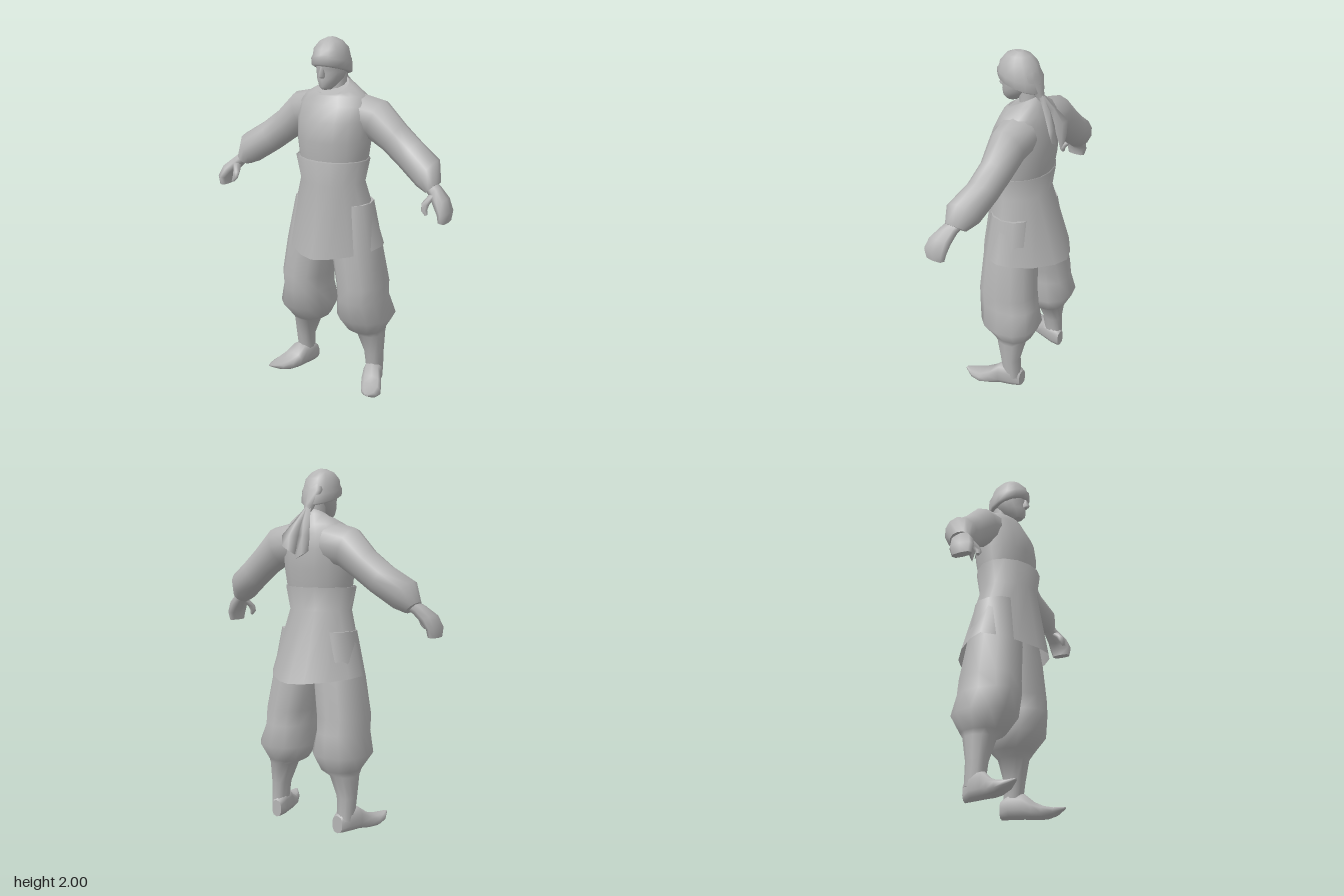
import * as THREE from 'three';

const X = [1, 0, 0], Y = [0, 1, 0], Z = [0, 0, 1];

// One closed cross-section: superellipse around c, spanned by U and V
function ring(c, U, V, ru, rv, n, p = 2) {
  const e = (t) => Math.sign(t) * Math.pow(Math.abs(t) < 1e-9 ? 0 : Math.abs(t), 2 / p);
  return Array.from({ length: n }, (_, i) => {
    const a = (i / n) * Math.PI * 2, s = e(Math.sin(a)) * ru, k = e(Math.cos(a)) * rv;
    return c.map((v, j) => v + U[j] * s + V[j] * k);
  });
}

// Skin through the rings; side = -1 mirrors it across x
function loft(rings, side = 1, capStart = true, capEnd = true) {
  const n = rings[0].length, pos = [], idx = [];
  const tri = (a, b, c) => (side > 0 ? idx.push(a, b, c) : idx.push(a, c, b));
  const add = (p) => pos.push(p[0] * side, p[1], p[2]) / 3 - 1;
  rings.forEach((r) => r.forEach(add));
  for (let i = 0; i < rings.length - 1; i++)
    for (let j = 0; j < n; j++) {
      const k = (j + 1) % n, a = i * n + j, b = i * n + k;
      tri(a, b, b + n);
      tri(a, b + n, a + n);
    }
  const cap = (r, flip) => {
    const mid = add([0, 1, 2].map((k) => r.reduce((t, p) => t + p[k] / n, 0)));
    const ids = r.map(add);
    ids.forEach((a, j) => (flip ? tri(mid, ids[(j + 1) % n], a) : tri(mid, a, ids[(j + 1) % n])));
  };
  if (capStart) cap(rings[0], true);
  if (capEnd) cap(rings[rings.length - 1], false);
  const g = new THREE.BufferGeometry();
  g.setAttribute('position', new THREE.Float32BufferAttribute(pos, 3));
  g.setIndex(idx);
  g.computeVertexNormals();
  return g;
}

// Horizontal section: height, half width, front z, back z, slope of y along z, centre x
const level = (n, p) => ([y, rx, zf, zb, slope = 0, cx = 0]) =>
  ring([cx, y, (zf + zb) / 2], X, [0, slope, 1], rx, (zf - zb) / 2, n, p);

// Limb section: centre, in-plane radius, z radius, heading angle below horizontal in degrees
const limb = (n, p) => ([x, y, z, r, rz, deg]) => {
  const a = (deg * Math.PI) / 180;
  return ring([x, y, z], Z, [Math.sin(a), Math.cos(a), 0], rz, r, n, p);
};

export function createModel() {
  const model = new THREE.Group();
  const grey = new THREE.MeshStandardMaterial({ color: 0xb4b4b4, side: THREE.DoubleSide });
  grey.name = 'plain grey';
  const part = (name, geometry) => {
    const m = new THREE.Mesh(geometry, grey);
    m.name = name;
    model.add(m);
  };

  // Tunic top with V-shaped collar
  part('tunic', loft([
    [1.33, 0.195, 0.175, -0.135],
    [1.46, 0.212, 0.187, -0.155],
    [1.57, 0.215, 0.172, -0.155],
    [1.65, 0.215, 0.13, -0.142],
    [1.7, 0.175, 0.105, -0.125],
    [1.733, 0.115, 0.1, -0.1, -0.25],
    [1.742, 0.075, 0.095, -0.075, -0.5],
  ].map(level(16, 2)), 1, false, true));

  // Flared skirt, open at the hem
  const skirt = [
    [0.86, 0.3, 0.267, -0.267],
    [1.23, 0.187, 0.192, -0.132],
    [1.36, 0.215, 0.21, -0.15],
    [1.36, 0.19, 0.17, -0.13],
  ].map((s, i) => level(16, i ? 1.9 : 1.5)(s));
  skirt[0].forEach((p) => { p[1] = 0.88 - 0.052 * Math.abs(p[2]) / 0.267 + (p[2] < 0 ? 0.015 * -p[2] / 0.267 : 0); });
  part('skirt', loft(skirt, 1, false, false));

  // Neck, head and nose
  part('neck', loft([
    [1.66, 0.06, 0.05, -0.075],
    [1.74, 0.052, 0.035, -0.07],
    [1.84, 0.055, 0.05, -0.07],
  ].map(level(10, 2))));
  part('face', loft([
    [1.735, 0.025, 0.125, 0.06],
    [1.757, 0.046, 0.14, 0.01, -0.1],
    [1.79, 0.067, 0.143, -0.03],
    [1.825, 0.077, 0.138, -0.06],
    [1.845, 0.079, 0.145, -0.07],
    [1.89, 0.08, 0.145, -0.07],
  ].map(level(12, 1.9))));
  part('nose', loft([
    [1.798, 0.014, 0.152, 0.12],
    [1.808, 0.018, 0.17, 0.12],
    [1.855, 0.009, 0.152, 0.12],
  ].map(level(6, 2))));

  // Cap with its rolled band, sloping to the knot behind
  part('cap', loft([
    [1.829, 0.088, 0.15, -0.085, 0.27],
    [1.838, 0.1, 0.165, -0.092, 0.26],
    [1.878, 0.102, 0.166, -0.088, 0.22],
    [1.9, 0.094, 0.155, -0.08, 0.15],
    [1.945, 0.088, 0.148, -0.058],
    [1.982, 0.058, 0.115, -0.02],
    [2.0, 0.018, 0.07, 0.02],
  ].map(level(14, 2))));
  part('capKnot', loft([
    [1.755, 0.018, -0.075, -0.112],
    [1.8, 0.032, -0.04, -0.1],
    [1.88, 0.07, -0.02, -0.082],
    [1.93, 0.05, 0.0, -0.06],
  ].map(level(8, 2))));

  // Two cloth tails, the right one hanging lower
  const tail = (name, s, drop) => part(name, loft([
    ring([s * 0.045, 1.56 - drop, -0.2], [0.8, s * 0.45, -0.12], Z, 0.05, 0.006, 4),
    ring([s * 0.045, 1.64, -0.182], [1, 0, -s * 0.25], Z, 0.05, 0.012, 4),
    ring([s * 0.022, 1.72, -0.138], X, Z, 0.03, 0.016, 4),
    ring([0, 1.8, -0.08], X, Z, 0.016, 0.015, 4),
  ]));
  tail('leftTail', 1, 0);
  tail('rightTail', -1, 0.025);

  for (const s of [1, -1]) {
    const side = s > 0 ? 'left' : 'right';

    // Sleeve, gathered at the cuff
    part(side + 'Sleeve', loft([
      [0.11, 1.6, -0.02, 0.115, 0.115, 8],
      [0.235, 1.575, -0.035, 0.113, 0.1, 22],
      [0.34, 1.49, -0.038, 0.092, 0.085, 36],
      [0.44, 1.415, -0.025, 0.09, 0.082, 36],
      [0.562, 1.335, 0.008, 0.09, 0.093, 33],
      [0.602, 1.27, 0.028, 0.046, 0.06, 48],
    ].map(limb(12, 2)), s));

    // Mitten-like hand and thumb
    part(side + 'Hand', loft([
      [0.585, 1.285, 0.035, 0.03, 0.042, 42],
      [0.625, 1.258, 0.052, 0.033, 0.045, 42],
      [0.672, 1.212, 0.075, 0.036, 0.062, 52],
      [0.698, 1.165, 0.086, 0.029, 0.068, 80],
      [0.698, 1.118, 0.088, 0.024, 0.055, 92],
    ].map(limb(8, 2.8)), s));
    part(side + 'Thumb', loft([
      [0.625, 1.25, 0.075, 0.022, 0.03, 80],
      [0.602, 1.205, 0.118, 0.021, 0.022, 95],
      [0.602, 1.175, 0.132, 0.018, 0.017, 75],
      [0.617, 1.152, 0.136, 0.009, 0.01, 65],
    ].map(limb(6, 2)), s));

    // Baggy trouser leg narrowing to the ankle
    part(side + 'Leg', loft([
      [0.07, 0.046, 0.0, -0.105, 0, 0.237],
      [0.2, 0.054, 0.018, -0.1, 0, 0.236],
      [0.325, 0.08, 0.05, -0.125, 0, 0.215],
      [0.355, 0.112, 0.085, -0.15, 0, 0.188],
      [0.445, 0.162, 0.155, -0.197, 0, 0.192],
      [0.565, 0.132, 0.177, -0.177, 0, 0.182],
      [0.65, 0.139, 0.174, -0.165, 0, 0.181],
      [0.86, 0.138, 0.165, -0.14, 0, 0.145],
      [1.12, 0.12, 0.135, -0.11, 0, 0.11],
    ].map(level(12, 2.2)), s));

    // Shoe with upturned toe: z, centre x, half width, sole y, top y
    part(side + 'Shoe', loft([
      [-0.11, 0.22, 0.034, 0, 0.1],
      [-0.06, 0.232, 0.055, 0, 0.14],
      [0.01, 0.252, 0.057, 0, 0.14],
      [0.06, 0.275, 0.066, 0, 0.095],
      [0.11, 0.298, 0.066, 0.004, 0.072],
      [0.165, 0.315, 0.048, 0.022, 0.062],
      [0.215, 0.33, 0.01, 0.054, 0.066],
    ].map(([z, x, w, lo, hi]) =>
      ring([x, (lo + hi) / 2, z], [-1, 0, 0], Y, w, (hi - lo) / 2, 10, 2.6)), s));
  }
  return model;
}
